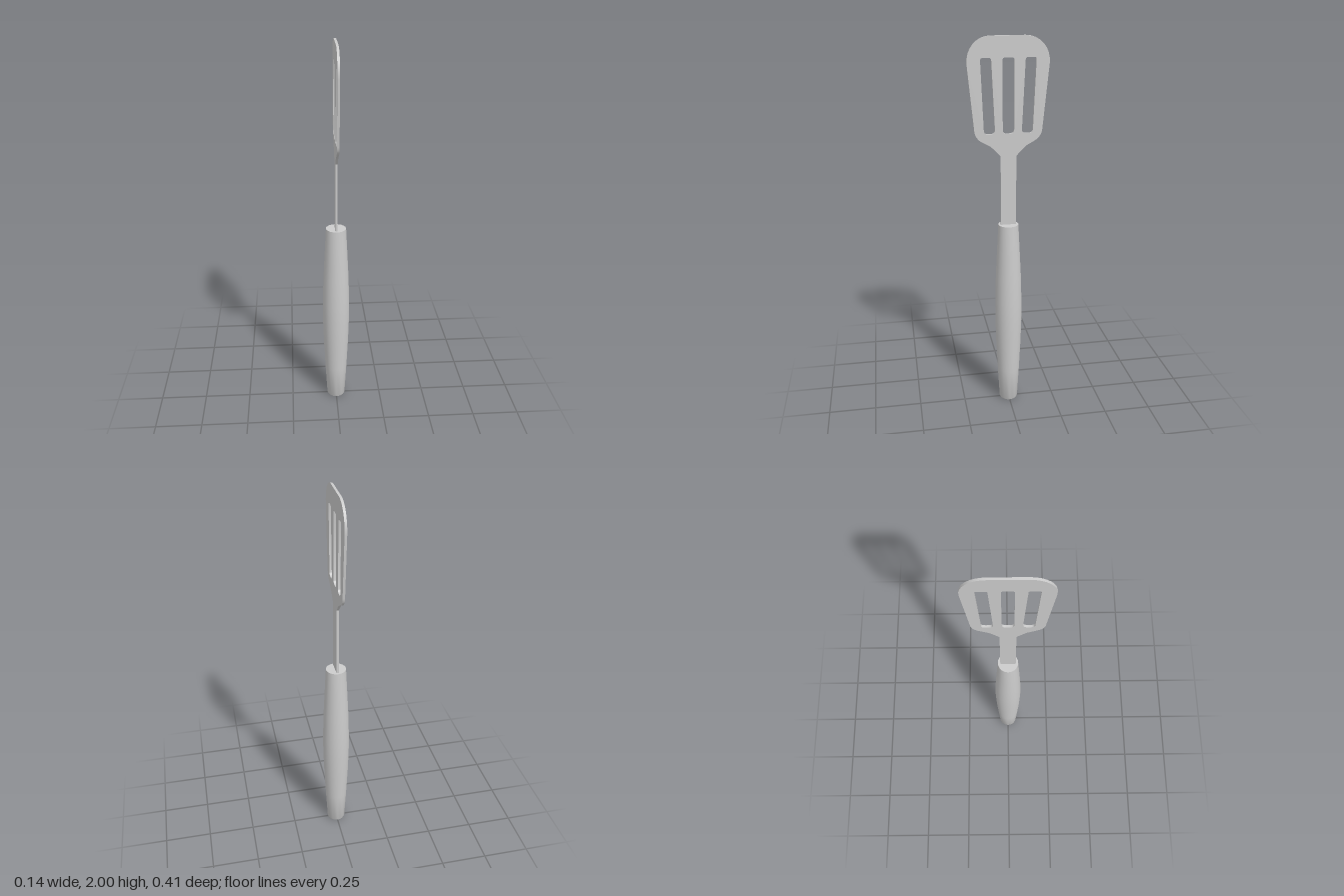
import * as THREE from 'three';
import { toCreasedNormals } from 'three/addons/utils/BufferGeometryUtils.js';

const THICKNESS = 0.012;

// Slot with rounded ends; zTop and zBottom are the centres of its two ends
function slot(zTop, zBottom, halfTop, halfBottom) {
  const top = 1.897, bottom = 1.525, r = 0.012, R = 0.022;
  const p = new THREE.Path();
  p.moveTo(zBottom - halfBottom, bottom + R);
  p.quadraticCurveTo(zBottom - halfBottom, bottom, zBottom - halfBottom + R, bottom);
  p.lineTo(zBottom + halfBottom - R, bottom);
  p.quadraticCurveTo(zBottom + halfBottom, bottom, zBottom + halfBottom, bottom + R);
  p.lineTo(zTop + halfTop, top - r);
  p.quadraticCurveTo(zTop + halfTop, top, zTop + halfTop - r, top);
  p.lineTo(zTop - halfTop + r, top);
  p.quadraticCurveTo(zTop - halfTop, top, zTop - halfTop, top - r);
  p.closePath();
  return p;
}

export function createModel() {
  const group = new THREE.Group();
  const material = new THREE.MeshStandardMaterial({ color: 0xcccccc });

  // Blade and shank: one flat plate, half outline mirrored
  const half = new THREE.Path();
  half.moveTo(0.04, 1.0);
  half.lineTo(0.04, 1.41);
  half.quadraticCurveTo(0.065, 1.44, 0.09, 1.462);
  half.lineTo(0.135, 1.487);
  half.quadraticCurveTo(0.165, 1.505, 0.171, 1.54);
  half.lineTo(0.203, 1.865);
  half.bezierCurveTo(0.21, 1.94, 0.155, 2.0, 0.085, 2.0);
  const right = half.getPoints(8);
  const left = right.map((p) => new THREE.Vector2(-p.x, p.y)).reverse();
  const outline = new THREE.Shape([...right, ...left]);
  outline.holes.push(
    slot(0, 0, 0.029, 0.029),
    slot(0.111, 0.096, 0.027, 0.028),
    slot(-0.111, -0.096, 0.027, 0.028),
  );
  const plate = new THREE.ExtrudeGeometry(outline, {
    depth: THICKNESS, bevelEnabled: false, curveSegments: 6,
  });
  plate.translate(0, 0, -THICKNESS / 2);
  plate.rotateY(Math.PI / 2);
  const blade = new THREE.Mesh(toCreasedNormals(plate, 0.6), material);
  blade.name = 'slottedBlade';
  group.add(blade);

  // Handle: swelling grip with flat ends
  const profile = [
    [0, 0], [0.046, 0], [0.05, 0.008], [0.06, 0.19], [0.068, 0.36], [0.072, 0.5],
    [0.072, 0.6], [0.068, 0.75], [0.06, 0.91], [0.053, 1.045], [0, 1.045],
  ].map(([r, y]) => new THREE.Vector2(r, y));
  const handle = new THREE.Mesh(
    toCreasedNormals(new THREE.LatheGeometry(profile, 20), 0.6), material);
  handle.name = 'handle';
  group.add(handle);

  return group;
}
